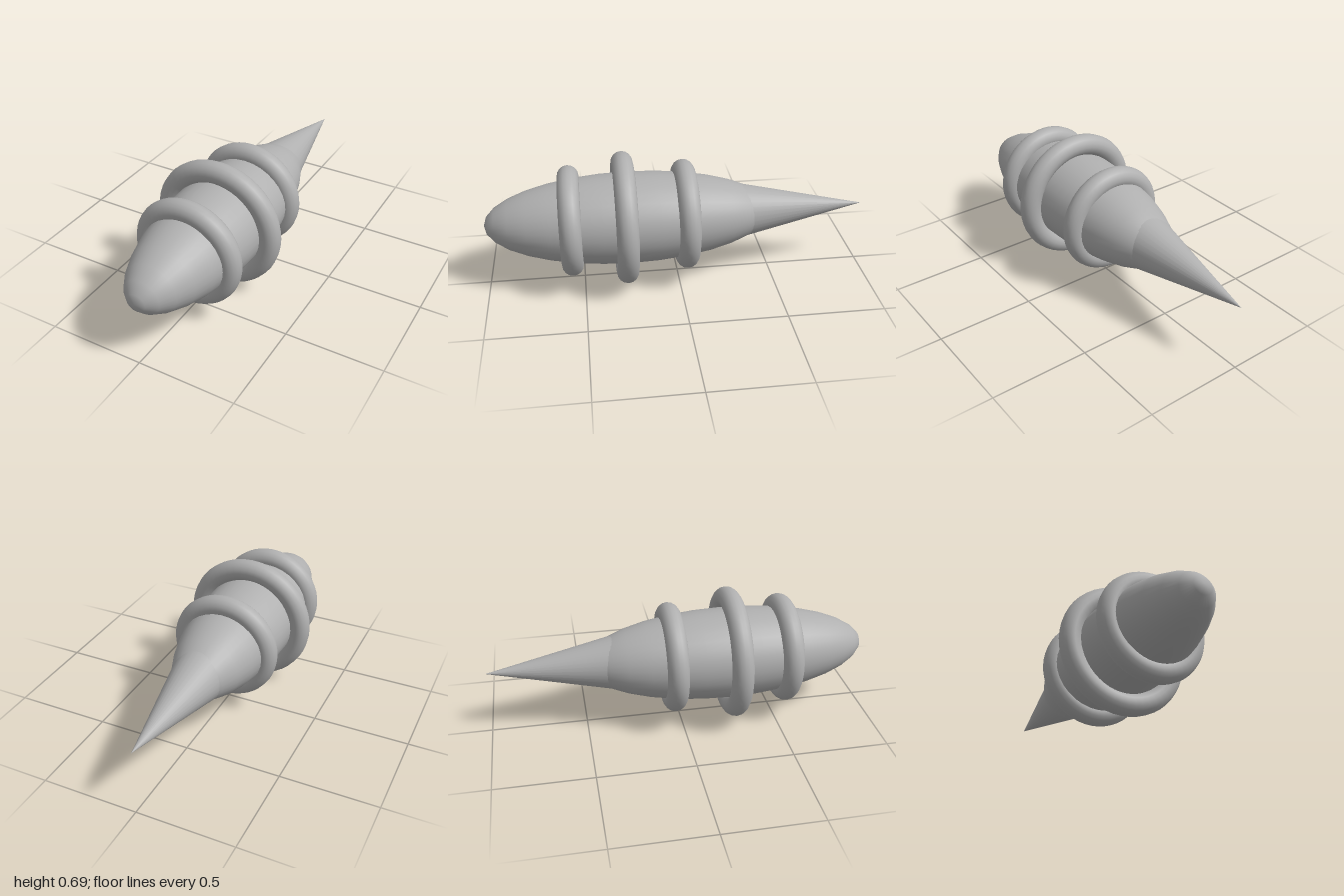
import * as THREE from 'three';

export function createModel() {
  const model = new THREE.Group();
  const grey = new THREE.MeshStandardMaterial({ color: 0xb0b0b0 });
  grey.name = 'grey';

  const add = (name, geometry, z) => {
    const mesh = new THREE.Mesh(geometry, grey);
    mesh.name = name;
    mesh.position.set(0, 0.346, z);
    model.add(mesh);
  };

  // Slightly flattened ellipsoid body, poles along z
  const body = new THREE.SphereGeometry(1, 32, 16);
  body.rotateX(Math.PI / 2);
  body.scale(0.255, 0.236, 0.75);
  add('body', body, 0.25);

  // Pointed tail, its base sunk into the body
  const tail = new THREE.ConeGeometry(0.151, 0.7, 32);
  tail.rotateX(-Math.PI / 2);
  add('tail', tail, -0.65);

  // Three rings around the body, the middle one larger
  const rings = [
    ['frontRing', 0.232, 0.558],
    ['middleRing', 0.29, 0.277],
    ['rearRing', 0.232, -0.041],
  ];
  for (const [name, radius, z] of rings) {
    add(name, new THREE.TorusGeometry(radius, 0.056, 16, 48), z);
  }

  return model;
}
